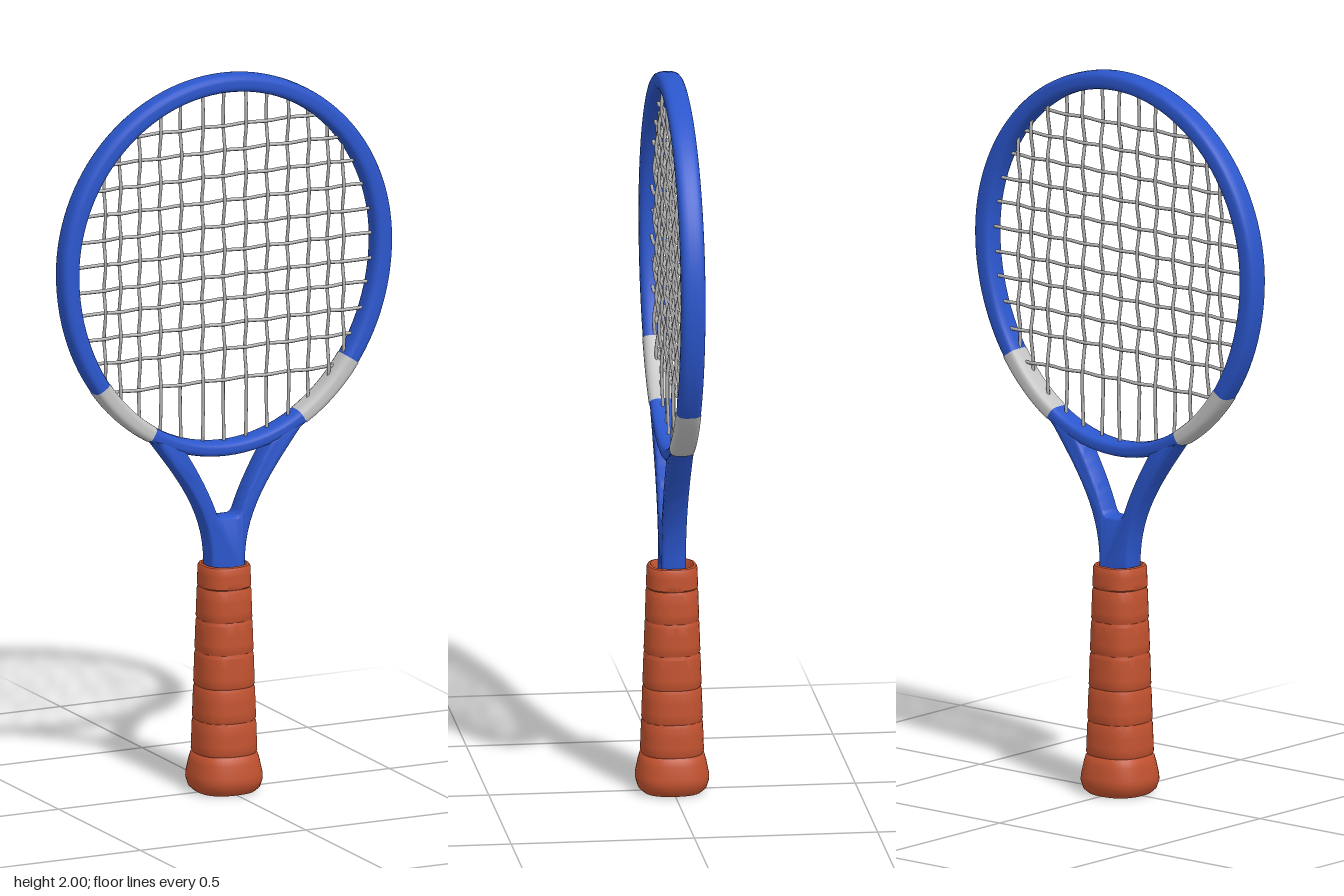
import * as THREE from 'three';
import { toCreasedNormals } from 'three/addons/utils/BufferGeometryUtils.js';
import { ParametricGeometry } from 'three/addons/geometries/ParametricGeometry.js';

const material = (name, color) => {
  const m = new THREE.MeshStandardMaterial({ color });
  m.name = name;
  return m;
};

// Egg-shaped centre line of the head
const CY = 1.49, RX = 0.4725, TOP = 0.485, BOTTOM = 0.535;
const ry = (s) => (s > 0 ? TOP : BOTTOM);

// Radius factor that squares off a circle
const squircle = (a, n) =>
  Math.pow(Math.abs(Math.cos(a)) ** n + Math.abs(Math.sin(a)) ** n, -1 / n);

// Frame bar swept along the head between two angles
function headBar(t0, t1, steps, grow) {
  return new ParametricGeometry((u, v, target) => {
    const t = t0 + (t1 - t0) * v, a = -u * Math.PI * 2;
    const c = Math.cos(t), s = Math.sin(t), r = ry(s);
    const n = new THREE.Vector2(c / RX, s / r).normalize();
    const half = 0.0275 - (s < 0 ? 0.0075 : 0.0025) * s * s + grow;
    const k = squircle(a, 3.2);
    const out = half * k * Math.cos(a);
    target.set(RX * c + n.x * out, CY + r * s + n.y * out, (0.033 + grow) * k * Math.sin(a));
  }, 24, steps);
}

export function createModel() {
  const blue = material('frame blue', 0x2b56cc);
  const silver = material('silver', 0xc4c4c4);
  const stringGrey = material('string grey', 0xb4b4b4);
  const orange = material('grip orange', 0xc2522f);
  const purple = material('core purple', 0x4b2a72);

  const root = new THREE.Group();
  root.name = 'racket';
  const add = (name, geometry, mat, parent = root) => {
    const mesh = new THREE.Mesh(geometry, mat);
    mesh.name = name;
    parent.add(mesh);
    return mesh;
  };

  // Head and its two silver sleeves
  add('headFrame', headBar(0, Math.PI * 2, 120, 0), blue);
  add('leftSleeve', headBar(-1.073, -0.653, 16, 0.0015), silver);
  add('rightSleeve', headBar(Math.PI + 0.653, Math.PI + 1.073, 16, 0.0015), silver);

  // Forked throat
  const fork = new THREE.Shape();
  fork.moveTo(-0.05, 0.6);
  fork.lineTo(0.05, 0.6);
  fork.lineTo(0.052, 0.66);
  fork.bezierCurveTo(0.06, 0.8, 0.15, 0.9, 0.23, 1.008);
  fork.lineTo(0.18, 0.995);
  fork.lineTo(0.13, 0.967);
  fork.bezierCurveTo(0.1, 0.92, 0.06, 0.85, 0.036, 0.785);
  fork.quadraticCurveTo(0.03, 0.767, 0.018, 0.767);
  fork.lineTo(-0.018, 0.767);
  fork.quadraticCurveTo(-0.03, 0.767, -0.036, 0.785);
  fork.bezierCurveTo(-0.06, 0.85, -0.1, 0.92, -0.13, 0.967);
  fork.lineTo(-0.18, 0.995);
  fork.lineTo(-0.23, 1.008);
  fork.bezierCurveTo(-0.15, 0.9, -0.06, 0.8, -0.052, 0.66);
  const throat = new THREE.ExtrudeGeometry(fork, {
    depth: 0.042, curveSegments: 14, bevelThickness: 0.012,
    bevelSize: 0.012, bevelOffset: -0.012, bevelSegments: 4,
  });
  throat.translate(0, 0, -0.021);
  add('throat', toCreasedNormals(throat, 0.7), blue);

  // Woven strings: over and under at each crossing
  const strings = new THREE.Group();
  strings.name = 'strings';
  root.add(strings);
  const xs = [-0.36, -0.314, -0.255, -0.193, -0.13, -0.065, 0, 0.065, 0.13, 0.193, 0.255, 0.314, 0.36];
  const ys = [1.145, 1.23, 1.3, 1.37, 1.435, 1.505, 1.575, 1.645, 1.715, 1.785, 1.855];
  const WEAVE = 0.005;
  const addString = (name, points) => {
    const path = new THREE.CatmullRomCurve3(points);
    add(name, new THREE.TubeGeometry(path, points.length * 4, 0.005, 6), stringGrey, strings);
  };
  xs.forEach((x, i) => {
    const w = Math.sqrt(1 - (x / RX) ** 2);
    const low = CY - BOTTOM * w, high = CY + TOP * w;
    const inside = ys.map((y, j) => new THREE.Vector3(x, y, (i + j) % 2 ? WEAVE : -WEAVE))
      .filter((p) => p.y > low + 0.02 && p.y < high - 0.02);
    addString('mainString', [new THREE.Vector3(x, low, 0), ...inside, new THREE.Vector3(x, high, 0)]);
  });
  ys.forEach((y, j) => {
    const w = RX * Math.sqrt(1 - ((y - CY) / ry(y - CY)) ** 2);
    const inside = xs.map((x, i) => new THREE.Vector3(x, y, (i + j) % 2 ? -WEAVE : WEAVE))
      .filter((p) => Math.abs(p.x) < w - 0.02);
    addString('crossString', [new THREE.Vector3(-w, y, 0), ...inside, new THREE.Vector3(w, y, 0)]);
  });

  // Grip: flared butt, bulging wraps, open rim
  const profile = [[0, 0.006], [0.06, 0.003], [0.08, 0], [0.093, 0.012], [0.1, 0.035], [0.099, 0.05],
    [0.092, 0.085], [0.087, 0.103], [0.083, 0.108]];
  const seams = [0.108, 0.2, 0.295, 0.39, 0.48, 0.57, 0.632];
  for (let i = 0; i < seams.length - 1; i++) {
    for (const f of [0.06, 0.3, 0.6, 0.9, 1]) {
      const y = seams[i] + (seams[i + 1] - seams[i]) * f;
      const base = 0.083 - 0.018 * (y - 0.108) / 0.524;
      profile.push([base + (f === 1 ? 0 : 0.003), y]);
    }
  }
  profile.push([0.058, 0.634], [0.054, 0.628], [0.053, 0.59]);
  const grip = new THREE.LatheGeometry(profile.map(([r, y]) => new THREE.Vector2(r, y)), 40);
  const pos = grip.attributes.position;
  for (let i = 0; i < pos.count; i++) {
    const x = pos.getX(i), z = pos.getZ(i), k = squircle(Math.atan2(z, x), 2.5);
    pos.setX(i, x * k);
    pos.setZ(i, z * k);
  }
  add('grip', toCreasedNormals(grip, 0.7), orange);

  // Handle core seen inside the grip rim
  const core = add('handleCore', new THREE.CylinderGeometry(0.054, 0.054, 0.5, 24), purple);
  core.position.y = 0.36;

  return root;
}
